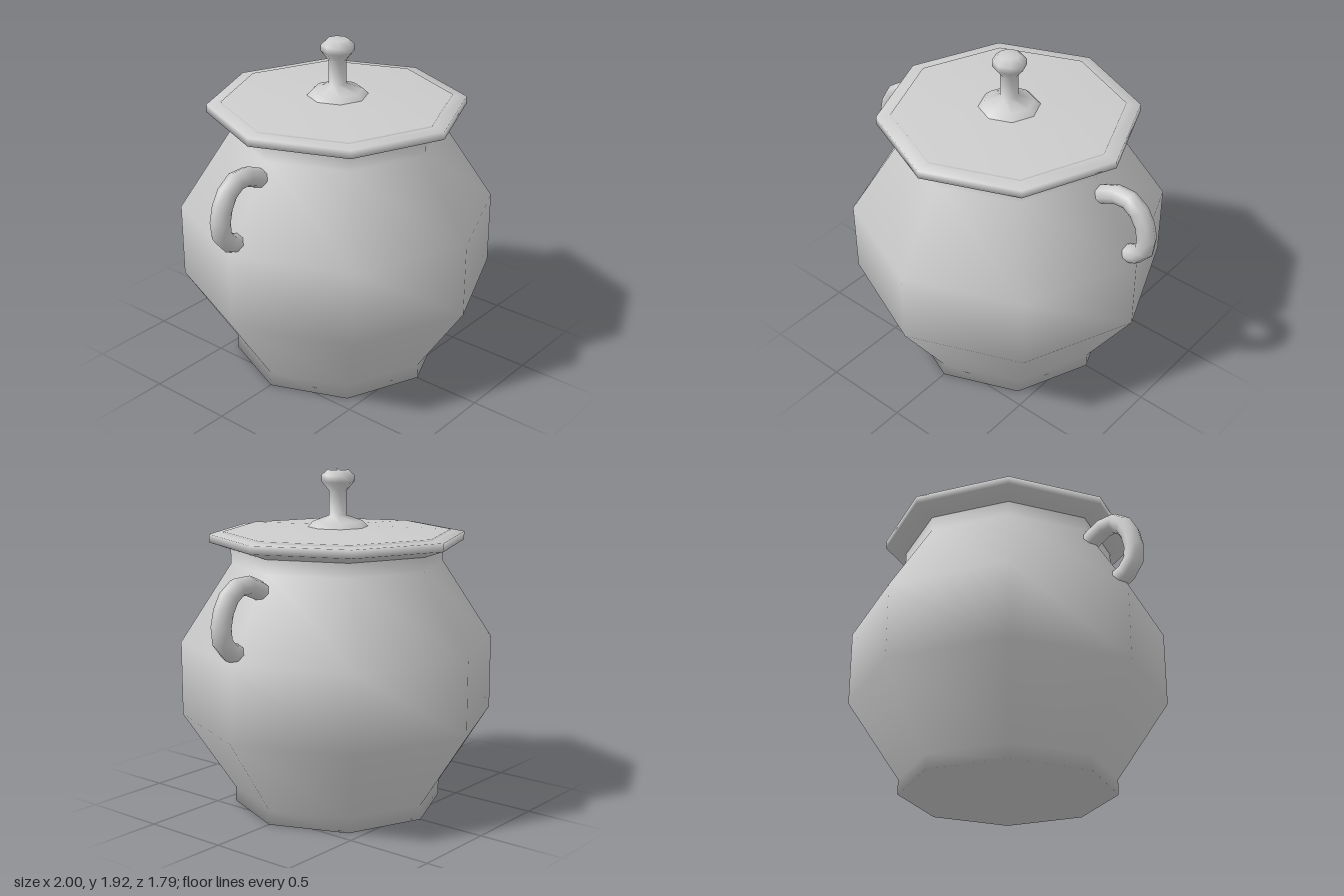
import * as THREE from 'three';

const SIDES = 8;

export function createModel() {
  const model = new THREE.Group();
  model.name = 'liddedJar';
  const material = new THREE.MeshStandardMaterial({ color: 0xcccccc, side: THREE.DoubleSide });

  const add = (name, geometry) => {
    const mesh = new THREE.Mesh(geometry, material);
    mesh.name = name;
    model.add(mesh);
    return mesh;
  };

  // Turned part: profile runs from the bottom up, as [radius, height]
  const turned = (name, profile) =>
    add(name, new THREE.LatheGeometry(profile.map(([r, y]) => new THREE.Vector2(r, y)), SIDES));

  // Foot, belly, shoulder and neck
  turned('body', [
    [0, 0], [0.6, 0], [0.6, 0.085], [0.895, 0.53],
    [0.895, 0.955], [0.605, 1.4], [0.605, 1.5],
  ]);

  // Overhanging rim under the lid
  turned('rim', [[0.6, 1.48], [0.725, 1.522], [0.725, 1.568], [0.63, 1.572]]);

  // Shallow domed lid
  turned('lid', [[0.645, 1.56], [0.645, 1.582], [0.17, 1.604], [0, 1.606]]);

  // Flared base, stem and knob
  turned('knob', [
    [0.175, 1.6], [0.14, 1.636], [0.05, 1.668], [0.05, 1.805],
    [0.093, 1.856], [0.093, 1.892], [0.06, 1.922], [0, 1.924],
  ]);

  // One curved handle on each side, its ends sunk into the body
  const path = new THREE.CatmullRomCurve3([
    [0.6, 1.285], [0.66, 1.325], [0.78, 1.366], [0.865, 1.335], [0.93, 1.235],
    [0.945, 1.12], [0.92, 1.06], [0.855, 1.012], [0.81, 1.0],
  ].map(([x, y]) => new THREE.Vector3(x, y, 0)));
  const handleGeometry = new THREE.TubeGeometry(path, 9, 0.054, 8, false);
  add('leftHandle', handleGeometry);
  add('rightHandle', handleGeometry).rotation.y = Math.PI;

  return model;
}
